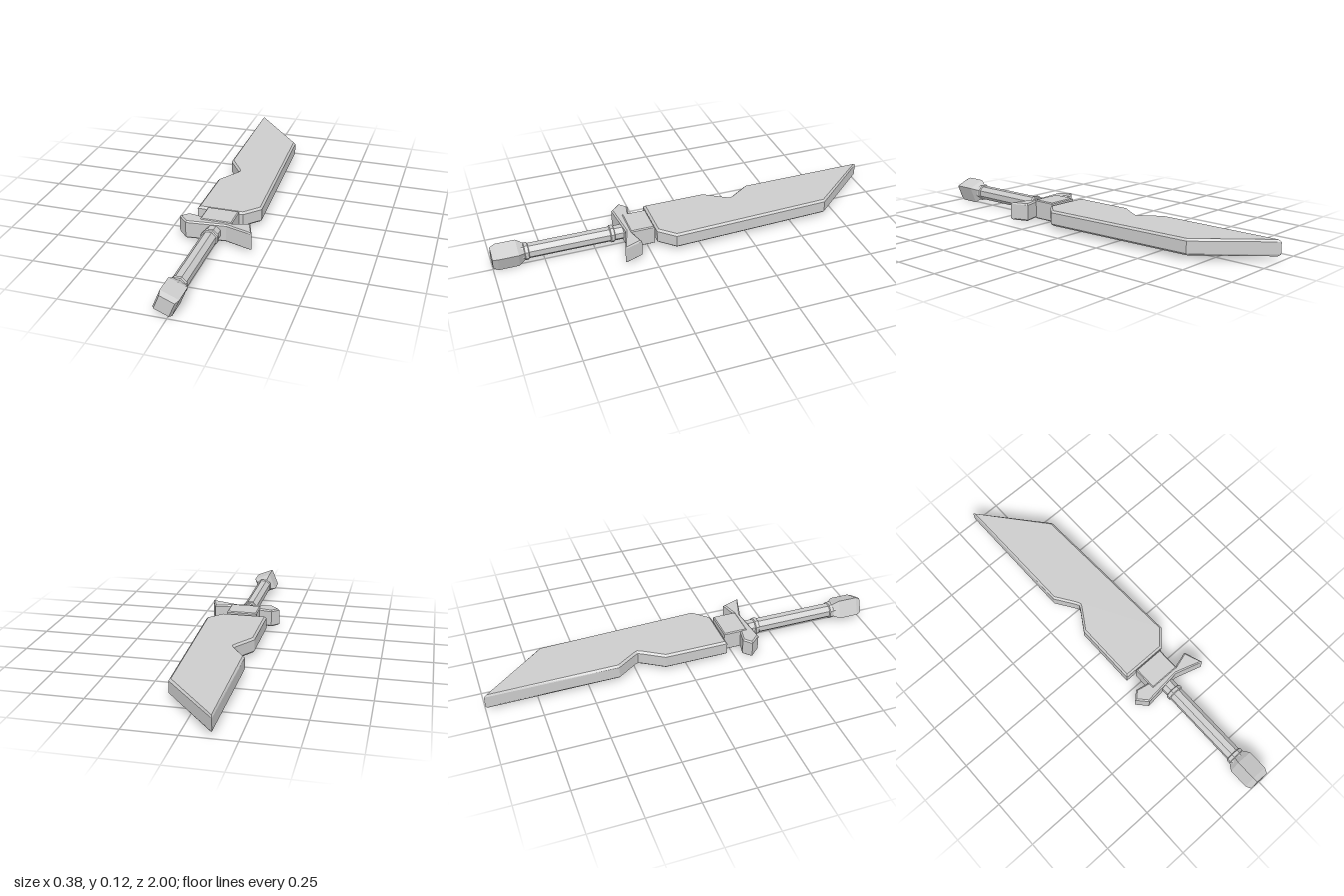
import * as THREE from 'three';

const AXIS_X = -0.011, AXIS_Y = 0.062;

export function createModel() {
  const group = new THREE.Group();
  const steel = new THREE.MeshStandardMaterial({ color: 0xcccccc });
  steel.name = 'plain grey';

  function add(name, geometry) {
    const mesh = new THREE.Mesh(geometry, steel);
    mesh.name = name;
    group.add(mesh);
    return mesh;
  }

  // Bevelled slab lying flat: outline given as [x, z], between heights y0 and y1
  function slab(name, outline, y0, y1, bevel) {
    const shape = new THREE.Shape(outline.map(([x, z]) => new THREE.Vector2(x, -z)));
    const geometry = new THREE.ExtrudeGeometry(shape, {
      depth: y1 - y0 - 2 * bevel, bevelEnabled: true, bevelSegments: 1,
      bevelSize: bevel, bevelThickness: bevel, bevelOffset: -bevel,
    });
    geometry.rotateX(-Math.PI / 2).translate(0, y0 + bevel, 0);
    return add(name, geometry);
  }

  // Faceted turned part along the z axis: profile given as [radius, z]
  function turned(name, profile, sides) {
    const points = profile.map(([r, z]) => new THREE.Vector2(r, z));
    const geometry = new THREE.LatheGeometry(points, sides).toNonIndexed();
    geometry.computeVertexNormals();
    geometry.rotateX(Math.PI / 2).rotateZ(Math.PI / 8).translate(AXIS_X, AXIS_Y, 0);
    return add(name, geometry);
  }

  // Broad blade with a notch in one edge and a slanted tip
  slab('blade', [
    [-0.14, 0.207], [0.09, 0.207], [0.162, 0.13], [0.132, -0.68], [-0.14, -1],
    [-0.14, -0.35], [-0.073, -0.25], [-0.066, -0.235], [-0.073, -0.22], [-0.14, -0.115],
  ], 0.024, 0.102, 0.01);

  // Uneven cross guard and the block at its middle
  slab('guard', [
    [-0.19, 0.322], [-0.143, 0.373], [0.05, 0.354], [0.187, 0.396],
    [0.155, 0.303], [0.07, 0.328], [-0.085, 0.3], [-0.152, 0.286],
  ], 0.016, 0.107, 0.007);
  slab('guardBlock', [[-0.085, 0.213], [-0.085, 0.335], [0.072, 0.335], [0.072, 0.213]],
    0.012, 0.111, 0.005);

  // Grip with a collar ring at each end
  turned('grip', [[0, 0.33], [0.038, 0.33], [0.038, 0.86], [0, 0.86]], 8);
  for (const [name, z] of [['frontRing', 0.835], ['guardRing', 0.412]]) {
    turned(name, [[0.036, z - 0.013], [0.044, z - 0.008], [0.044, z + 0.008], [0.036, z + 0.013]], 8);
  }

  // Square pommel, turned about the grip and tapered at both ends
  turned('pommel', [
    [0, 0.842], [0.042, 0.842], [0.065, 0.876], [0.065, 0.975], [0.052, 1], [0, 1],
  ], 4);

  return group;
}
